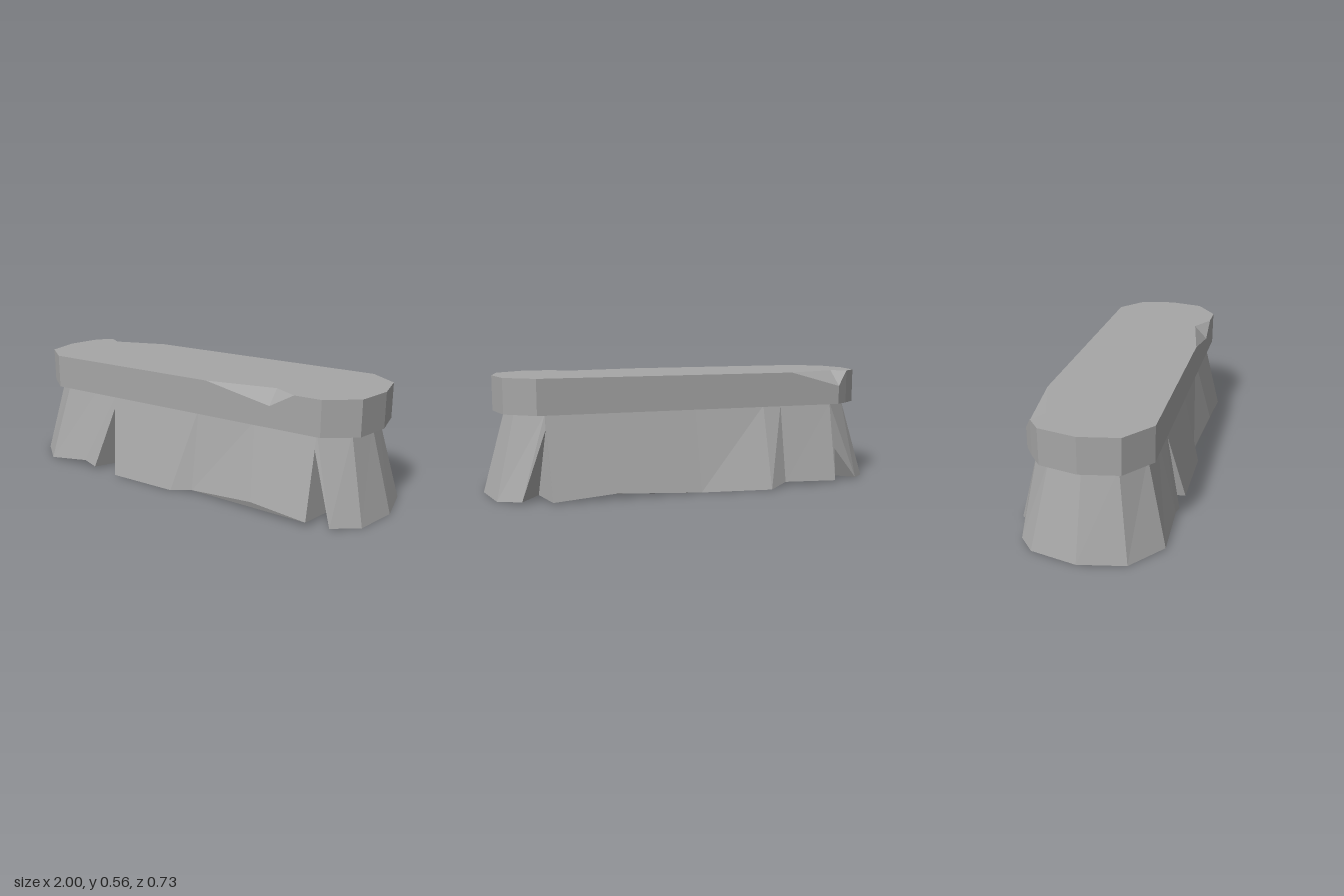
import * as THREE from 'three';

// Flat-shaded geometry from a list of triangles, each with three [x, y, z] corners
function fromTriangles(tris) {
  const g = new THREE.BufferGeometry();
  g.setAttribute('position', new THREE.Float32BufferAttribute(tris.flat(2), 3));
  g.computeVertexNormals();
  return g;
}

// Walls between neighbouring columns; each column is [bottom point, top point, isCrack]
function walls(columns) {
  const tris = [];
  columns.forEach(([b0, t0, crack], i) => {
    const [b1, t1] = columns[(i + 1) % columns.length];
    if (crack) tris.push([b0, b1, t0], [b1, t1, t0]);
    else tris.push([b0, b1, t1], [b0, t1, t0]);
  });
  return tris;
}

// Cap over an outline that runs counterclockwise seen from above
function cap(points, up) {
  const flat = points.map(([x, , z]) => new THREE.Vector2(x, -z));
  return THREE.ShapeUtils.triangulateShape(flat, []).map(([a, b, c]) =>
    up ? [points[a], points[b], points[c]] : [points[a], points[c], points[b]]);
}

export function createModel() {
  const group = new THREE.Group();
  const stone = new THREE.MeshStandardMaterial({ color: 0xa6a6a6 });
  stone.name = 'grey stone';
  stone.flatShading = true;

  const add = (name, tris) => {
    const mesh = new THREE.Mesh(fromTriangles(tris), stone);
    mesh.name = name;
    group.add(mesh);
  };

  // Slab with a chip knocked out of its front and back top edges
  const low = 0.397, high = 0.565;
  const slab = [
    [-0.77, 0.305], [0.18, 0.305], [0.52, 0.305, 0.498, [0.52, high, 0.24]], [0.64, 0.305],
    [0.77, 0.305], [0.91, 0.2], [0.945, 0.025], [0.91, -0.15], [0.77, -0.255],
    [-0.5, -0.255], [-0.77, -0.255, 0.49, [-0.77, high, -0.165]], [-0.84, -0.207],
    [-0.91, -0.15], [-0.945, 0.025], [-0.91, 0.2],
  ];
  const slabColumns = slab.map(([x, z, y = high]) => [[x, low, z], [x, y, z]]);
  const slabTris = walls(slabColumns);
  slabTris.push(...cap(slabColumns.map((c) => c[0]), false));
  slabTris.push(...cap(slab.map(([x, z, , inner]) => inner || [x, high, z]), true));
  slab.forEach(([, , , inner], i) => {
    if (!inner) return;
    const [before, dip, after] = [-1, 0, 1].map((d) => slabColumns[i + d][1]);
    slabTris.push([before, dip, inner], [dip, after, inner]);
  });
  add('slab', slabTris);

  // Flared base, broken by wedge cracks that open toward the ground
  const top = (x, z) => [x, 0.4, z];
  const frontLeftTop = top(0.735, 0.265), frontTop = top(-0.405, 0.265);
  const backLeftTop = top(0.73, -0.215), backRightTop = top(-0.74, -0.215);
  const base = [
    // front
    [[-0.8, 0.005, 0.363], top(-0.735, 0.265)],
    [[-0.56, 0.035, 0.358], top(-0.54, 0.265)],
    [[-0.49, 0.015, 0.362], frontTop],
    [[-0.395, 0, 0.08], [-0.405, 0.33, 0.282], true],
    [[-0.35, 0, 0.365], frontTop],
    [[0.01, 0, 0.365], top(0.02, 0.265)],
    [[0.11, 0.01, 0.325], top(0.1, 0.25)],
    [[0.46, 0.045, 0.356], top(0.42, 0.265)],
    [[0.745, 0.02, 0.362], frontLeftTop],
    [[0.77, 0.015, 0.2], [0.735, 0.335, 0.281], true],
    // left end
    [[0.845, 0.005, 0.33], frontLeftTop],
    [[0.955, 0, 0.235], top(0.86, 0.175)],
    [[1, 0, 0.025], top(0.89, 0.025)],
    [[0.955, 0, -0.19], top(0.86, -0.125)],
    [[0.85, 0.01, -0.28], backLeftTop],
    // back
    [[0.76, 0.01, -0.16], [0.73, 0.33, -0.233], true],
    [[0.715, 0.005, -0.315], backLeftTop],
    [[0.42, 0.025, -0.31], top(0.42, -0.215)],
    [[0, 0, -0.315], top(0, -0.215)],
    [[-0.35, 0, -0.365], top(-0.36, -0.225)],
    [[-0.45, 0.02, -0.31], top(-0.46, -0.215)],
    [[-0.73, 0.01, -0.315], backRightTop],
    [[-0.775, 0.01, -0.2], [-0.745, 0.17, -0.27], true],
    // right end
    [[-0.88, 0.005, -0.26], backRightTop],
    [[-0.955, 0, -0.19], top(-0.86, -0.125)],
    [[-1, 0, 0.025], top(-0.89, 0.025)],
    [[-0.955, 0, 0.235], top(-0.86, 0.175)],
  ];
  add('base', [...walls(base), ...cap(base.map((c) => c[0]), false)]);

  return group;
}
